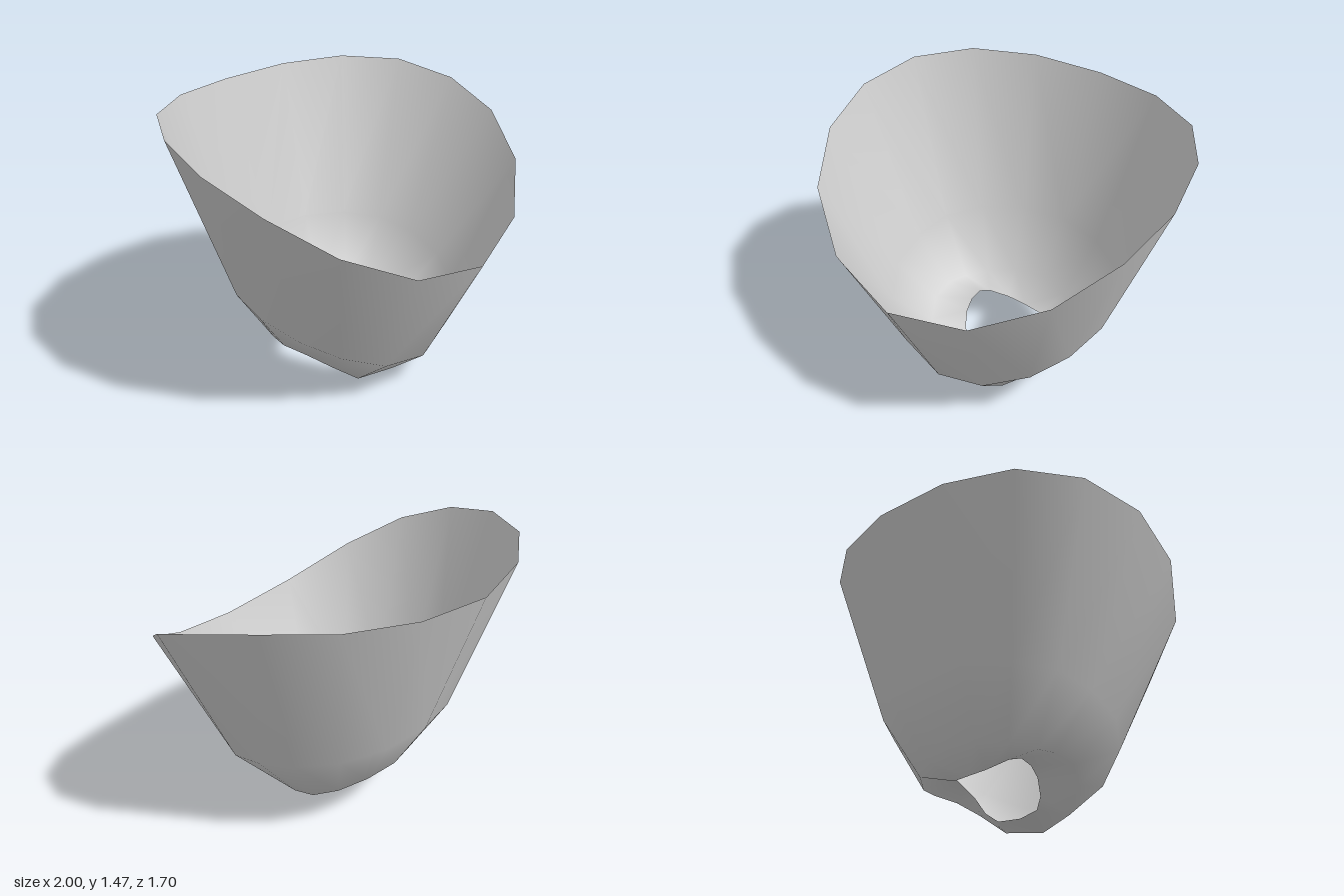
import * as THREE from 'three';

// Half cross-sections [x, y, z] from front centre round the left side to back centre
const rim = [[0, .81, .85], [.44, .89, .77], [.77, 1.07, .58], [.95, 1.25, .31], [1, 1.375, 0],
  [.92, 1.45, -.32], [.72, 1.465, -.6], [.4, 1.455, -.78], [0, 1.44, -.85]];
const belly = [[0, .17, .53], [.28, .23, .49], [.5, .34, .37], [.62, .43, .2], [.66, .5, -.02],
  [.62, .55, -.22], [.49, .58, -.4], [.27, .6, -.52], [0, .61, -.565]];
const base = [[0, 0, .32], [.23, .035, .27], [.36, .145, .2], [.43, .21, .09], [.45, .225, -.06],
  [.42, .225, -.16], [.33, .25, -.26], [.18, .28, -.34], [0, .3, -.38]];
const hole = [[0, .04, .145], [.14, .05, .125], [.2, .1, .09], [.23, .18, .04], [.243, .225, -.02],
  [.235, .25, -.08], [.2, .24, -.13], [.12, .19, -.205], [0, .185, -.215]];

// Mirror a half section into a closed ring of 16 points
function fullRing(half) {
  const mirrored = half.slice(1, -1).reverse().map(([x, y, z]) => [-x, y, z]);
  return [...half, ...mirrored];
}

// Skin neighbouring rings, ordered from top to bottom
function loft(rings) {
  const n = rings[0].length;
  const index = [];
  for (let i = 0; i < rings.length - 1; i++) {
    for (let k = 0; k < n; k++) {
      const a = i * n + k, b = i * n + (k + 1) % n;
      const c = a + n, d = b + n;
      // mirror the diagonals so both sides match
      if (k < n / 2) index.push(a, c, d, a, d, b);
      else index.push(a, c, b, b, c, d);
    }
  }
  const geometry = new THREE.BufferGeometry();
  geometry.setAttribute('position', new THREE.Float32BufferAttribute(rings.flat(2), 3));
  geometry.setIndex(index);
  geometry.computeVertexNormals();
  return geometry;
}

export function createModel() {
  const group = new THREE.Group();
  group.name = 'openCup';
  // Slanted open shell with an opening in the underside
  const material = new THREE.MeshStandardMaterial({ color: 0xcccccc, side: THREE.DoubleSide });
  const shell = new THREE.Mesh(loft([rim, belly, base, hole].map(fullRing)), material);
  shell.name = 'shell';
  group.add(shell);
  return group;
}
